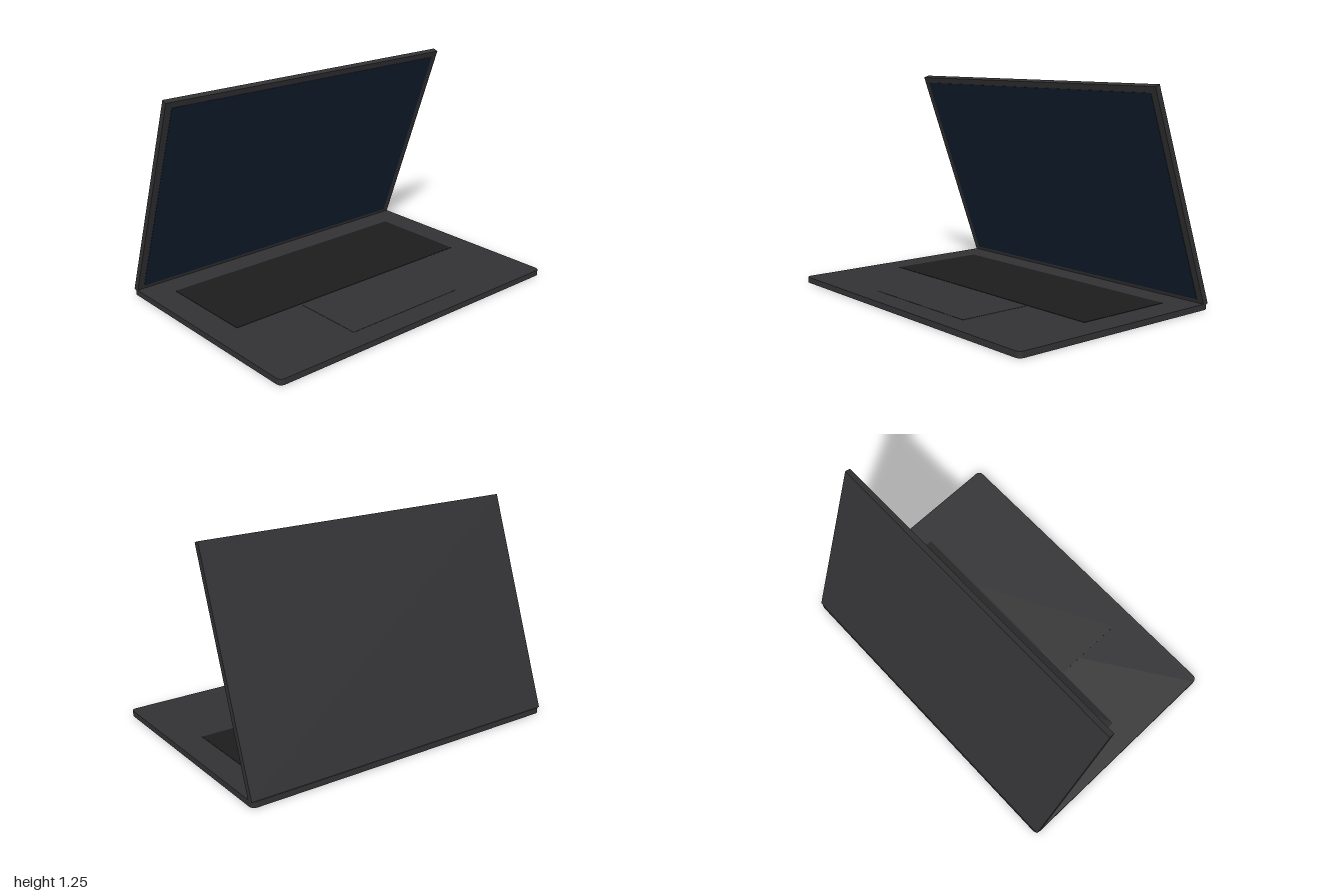
import * as THREE from 'three';

const W = 2, D = 1.39, T = 0.034;

function mat(color) {
  return new THREE.MeshStandardMaterial({ color });
}

function box(name, size, pos, material) {
  const mesh = new THREE.Mesh(new THREE.BoxGeometry(...size), material);
  mesh.name = name;
  mesh.position.set(...pos);
  return mesh;
}

// Rectangle with rounded corners, centred on the origin
function roundedRect(w, h, r) {
  const s = new THREE.Shape();
  const x = w / 2, y = h / 2;
  s.absarc(x - r, y - r, r, 0, Math.PI / 2);
  s.absarc(-x + r, y - r, r, Math.PI / 2, Math.PI);
  s.absarc(-x + r, -y + r, r, Math.PI, Math.PI * 1.5);
  s.absarc(x - r, -y + r, r, Math.PI * 1.5, Math.PI * 2);
  s.closePath();
  return s;
}

export function createModel() {
  const model = new THREE.Group();
  model.name = 'laptop';
  const bodyMat = mat(0x323234);
  const keyMat = mat(0x1c1c1c);
  const screenMat = mat(0x111d2e);

  // Base slab with rounded corners, lying flat
  const baseGeo = new THREE.ExtrudeGeometry(roundedRect(W, D, 0.03), {
    depth: T, bevelEnabled: false, curveSegments: 5,
  });
  baseGeo.rotateX(-Math.PI / 2);
  const base = new THREE.Mesh(baseGeo, bodyMat);
  base.name = 'base';
  model.add(base);

  // Keyboard area and trackpad, barely raised from the base
  model.add(box('keyboard', [1.68, 0.004, 0.61], [0, T, -0.195], keyMat));
  model.add(box('trackpad', [0.8, 0.003, 0.44], [0, T, 0.34], bodyMat));

  // Lid, hinged at the back edge and tilted forward
  const lidLength = 1.297;
  const lid = new THREE.Group();
  lid.name = 'lid';
  lid.position.set(0, 0.0275, -0.675);
  lid.rotation.x = THREE.MathUtils.degToRad(20);
  lid.add(box('lidShell', [W, lidLength, T], [0, lidLength / 2, 0], bodyMat));
  lid.add(box('screen', [1.92, 1.225, 0.004], [0, lidLength / 2, T / 2], screenMat));
  model.add(lid);

  return model;
}
